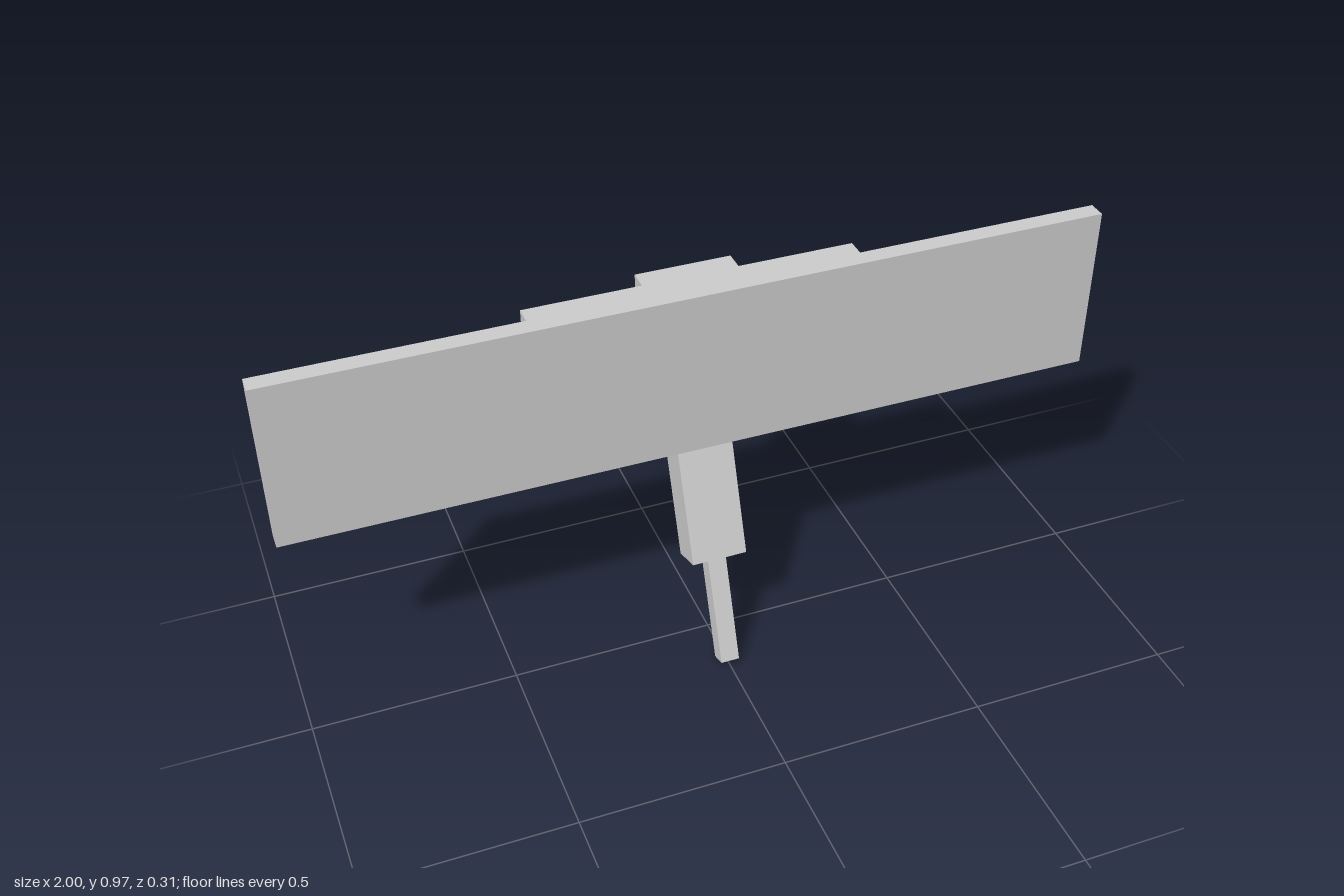
import * as THREE from 'three';

export function createModel() {
  const model = new THREE.Group();
  const material = new THREE.MeshStandardMaterial({ color: 0xcccccc, flatShading: true });

  function add(name, geometry, parent) {
    const mesh = new THREE.Mesh(geometry, material);
    mesh.name = name;
    parent.add(mesh);
    return mesh;
  }

  // Wide head: flat front, back stepping out towards the middle (plan outline, extruded upwards)
  const half = [[1, 0.015], [1, 0.06], [0.395, 0.06], [0.395, 0.105], [0.115, 0.105], [0.115, 0.154]];
  const outline = [...half, ...half.map(([x, d]) => [-x, d]).reverse()];
  const plan = new THREE.Shape(outline.map(([x, d]) => new THREE.Vector2(x, d)));
  const headGeometry = new THREE.ExtrudeGeometry(plan, { depth: 0.418, bevelEnabled: false });
  headGeometry.rotateX(-Math.PI / 2);
  add('steppedHead', headGeometry, model).position.y = 0.549;

  // Handle leaning forward towards its foot: thick grip, then thin rod
  const handle = new THREE.Group();
  handle.name = 'handle';
  handle.position.set(0, 0.401, -0.0095);
  handle.rotation.x = -THREE.MathUtils.degToRad(20);
  add('grip', new THREE.BoxGeometry(0.136, 0.279, 0.092), handle);
  add('rod', new THREE.BoxGeometry(0.046, 0.279, 0.046), handle).position.y = -0.279;
  model.add(handle);

  return model;
}
